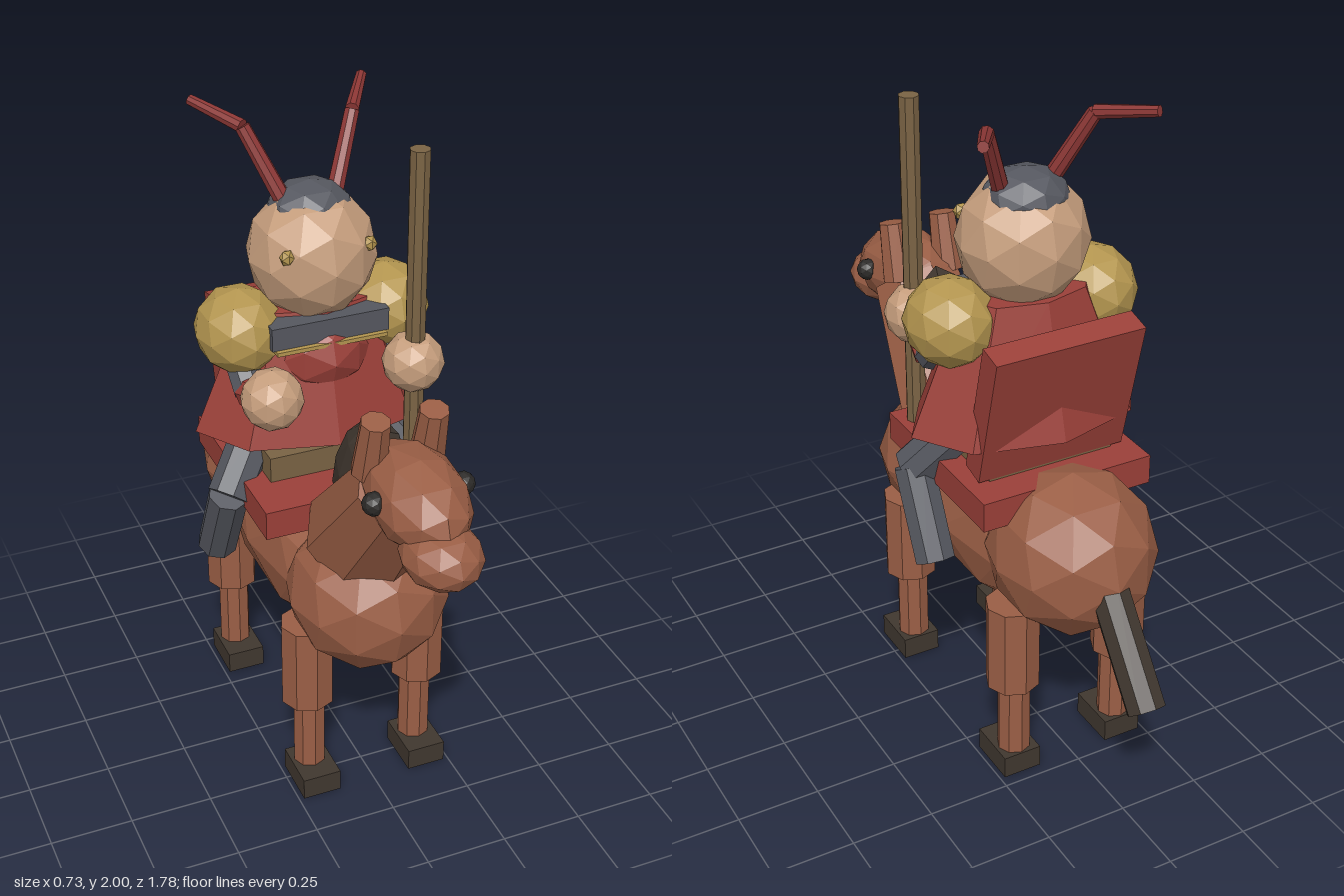
import * as THREE from 'three';

const paint = (name, color) => {
  const m = new THREE.MeshStandardMaterial({ color, flatShading: true });
  m.name = name;
  return m;
};

export function createModel() {
  const coat = paint('chestnut coat', 0x9a5e45);
  const dark = paint('dark hair and hoof', 0x40372f);
  const red = paint('red cloth', 0x9b4039);
  const plume = paint('plume red', 0x8c3735);
  const skin = paint('skin', 0xc59d7c);
  const gold = paint('gold', 0xb3954f);
  const steel = paint('steel grey', 0x55575f);
  const wood = paint('wood', 0x7a6344);
  const black = paint('eye black', 0x2b2927);

  const root = new THREE.Group();
  root.name = 'mountedRider';
  const horse = new THREE.Group();
  horse.name = 'horse';
  const rider = new THREE.Group();
  rider.name = 'rider';
  root.add(horse, rider);

  const add = (parent, name, geo, mat, pos = [0, 0, 0], rx = 0) => {
    const mesh = new THREE.Mesh(geo, mat);
    mesh.name = name;
    mesh.position.set(...pos);
    mesh.rotation.x = rx;
    parent.add(mesh);
    return mesh;
  };
  // Faceted ellipsoid
  const blob = (parent, name, mat, pos, radii, rx = 0, detail = 1) =>
    add(parent, name, new THREE.IcosahedronGeometry(1, detail).scale(...radii), mat, pos, rx);
  const box = (parent, name, mat, pos, size, rx = 0) =>
    add(parent, name, new THREE.BoxGeometry(...size), mat, pos, rx);
  // Eight-sided rod between two points
  const rod = (parent, name, mat, from, to, r0, r1 = r0) => {
    const a = new THREE.Vector3(...from), b = new THREE.Vector3(...to);
    const d = b.clone().sub(a);
    const mesh = add(parent, name, new THREE.CylinderGeometry(r1, r0, d.length(), 8), mat);
    mesh.position.copy(a).add(b).multiplyScalar(0.5);
    mesh.quaternion.setFromUnitVectors(new THREE.Vector3(0, 1, 0), d.normalize());
    return mesh;
  };

  // Horse body, neck and head
  blob(horse, 'barrel', coat, [0, 0.68, -0.08], [0.24, 0.25, 0.5]);
  blob(horse, 'chest', coat, [0, 0.68, 0.28], [0.24, 0.235, 0.25]);
  blob(horse, 'rump', coat, [0, 0.73, -0.43], [0.245, 0.25, 0.26]);
  rod(horse, 'neck', coat, [0, 0.86, 0.27], [0, 1.18, 0.53], 0.185, 0.14);
  blob(horse, 'mane', dark, [0, 1.09, 0.28], [0.09, 0.22, 0.12], 0.55);
  blob(horse, 'horseHead', coat, [0, 1.19, 0.6], [0.135, 0.125, 0.21], 0.12);
  blob(horse, 'muzzle', coat, [0, 1.105, 0.755], [0.112, 0.087, 0.13]);
  rod(horse, 'tail', dark, [0, 0.74, -0.61], [0, 0.43, -0.845], 0.058);

  for (const s of [-1, 1]) {
    blob(horse, 'horseEye', black, [s * 0.13, 1.207, 0.61], [0.034, 0.034, 0.034]);
    rod(horse, 'ear', coat, [s * 0.085, 1.22, 0.475], [s * 0.085, 1.395, 0.515], 0.052, 0.042);
    // Legs
    for (const z of [0.255, -0.41]) {
      rod(horse, 'upperLeg', coat, [s * 0.18, 0.31, z], [s * 0.18, 0.59, z], 0.081);
      rod(horse, 'lowerLeg', coat, [s * 0.175, 0.05, z], [s * 0.175, 0.32, z], 0.05);
      box(horse, 'hoof', dark, [s * 0.175, 0.035, z + 0.025], [0.12, 0.07, 0.16]);
    }
  }

  // Saddle
  box(horse, 'saddleBlanket', red, [0, 0.9, -0.115], [0.545, 0.09, 0.59]);
  box(horse, 'saddleSeat', wood, [0, 0.98, -0.14], [0.4, 0.09, 0.34]);

  // Robe, collar and cape
  const robe = new THREE.CylinderGeometry(0.55, 1, 0.39, 8).scale(0.365, 1, 0.235);
  add(rider, 'robe', robe, red, [0, 1.25, -0.155]).geometry.translate(0, 0, 0);
  blob(rider, 'upperRobe', red, [0, 1.3, -0.13], [0.17, 0.14, 0.18]);
  box(rider, 'collar', steel, [0, 1.4, -0.1], [0.36, 0.07, 0.22]);
  box(rider, 'collarTrim', gold, [0, 1.36, -0.09], [0.34, 0.012, 0.23]);
  box(rider, 'cape', red, [0, 1.17, -0.325], [0.47, 0.43, 0.08], -0.245);

  // Rider head
  blob(rider, 'head', skin, [0, 1.585, -0.138], [0.192, 0.2, 0.188]);
  blob(rider, 'cap', steel, [0, 1.7, -0.15], [0.13, 0.1, 0.125]);

  for (const s of [-1, 1]) {
    blob(rider, 'eye', gold, [s * 0.125, 1.64, -0.01], [0.022, 0.025, 0.022], 0, 0);
    // Bent plumes
    const bend = [s * 0.165, 1.95, -0.235];
    rod(rider, 'plumeLower', plume, [s * 0.075, 1.74, -0.15], bend, 0.026, 0.022);
    rod(rider, 'plumeUpper', plume, bend, [s * 0.262, 1.985, -0.395], 0.021, 0.016);
    // Arms
    const handY = s > 0 ? 1.3 : 1.27;
    const elbow = [s * 0.235, 1.23, -0.03];
    blob(rider, 'shoulderGuard', gold, [s * 0.228, 1.38, -0.135], [0.13, 0.13, 0.148]);
    rod(rider, 'upperArm', steel, [s * 0.24, 1.33, -0.13], elbow, 0.05);
    rod(rider, 'forearm', red, elbow, [s * 0.217, handY, 0.1], 0.05);
    blob(rider, 'hand', skin, [s * 0.217, handY, 0.1], [0.092, 0.092, 0.092]);
    // Legs
    rod(rider, 'thigh', steel, [s * 0.17, 1.06, -0.14], [s * 0.305, 0.88, -0.04], 0.068);
    rod(rider, 'shin', steel, [s * 0.305, 0.89, -0.045], [s * 0.305, 0.635, -0.17], 0.062);
  }

  // Staff held in the left hand
  rod(rider, 'staff', wood, [0.217, 0.82, 0.11], [0.217, 1.955, 0.11], 0.03);

  return root;
}
